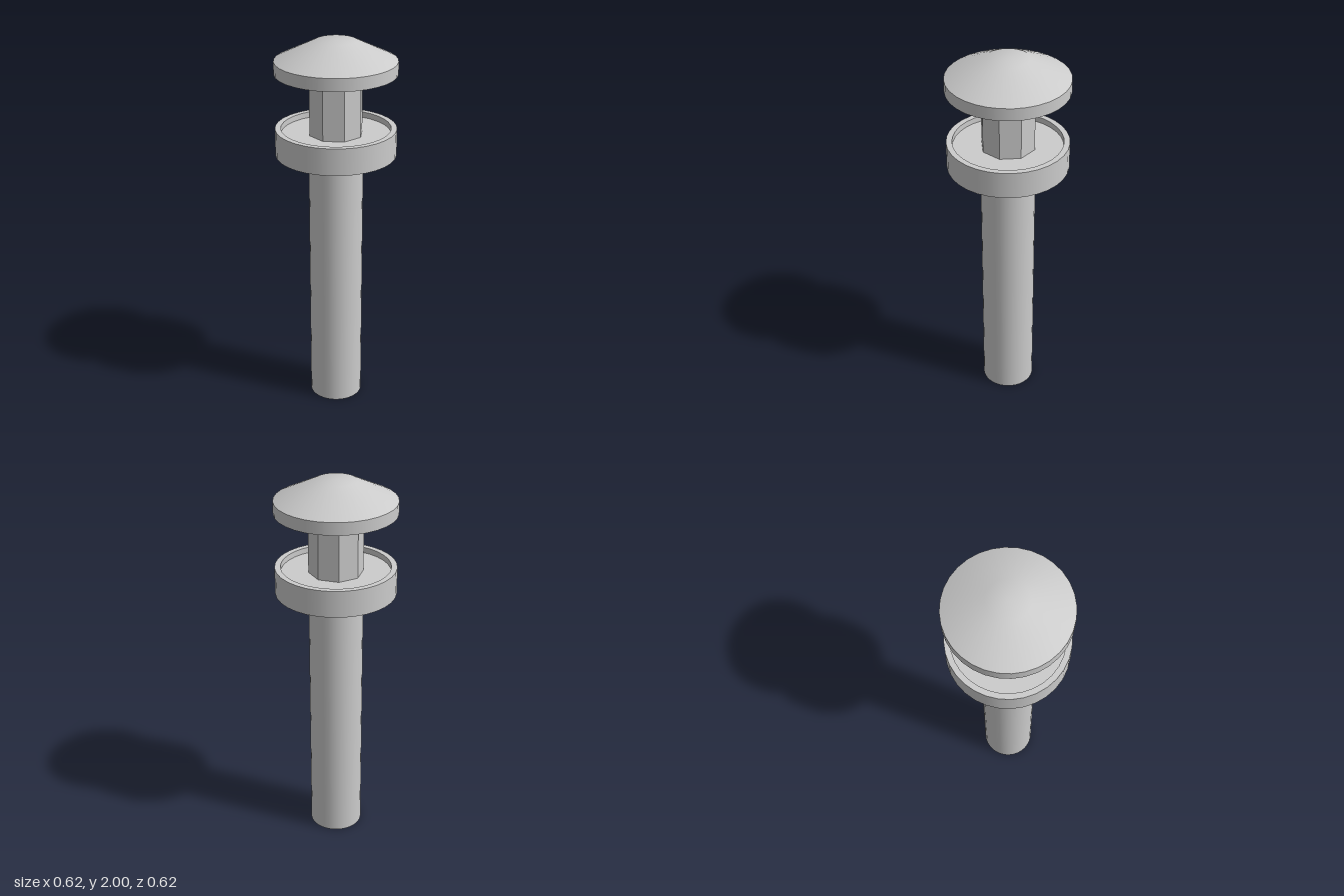
import * as THREE from 'three';
import { mergeGeometries } from 'three/addons/utils/BufferGeometryUtils.js';

const material = new THREE.MeshStandardMaterial({ color: 0xcccccc });

// Revolve profile runs; each run is smooth, with sharp edges between runs
function turned(name, runs, segments = 32) {
  const lathes = runs.map((run) =>
    new THREE.LatheGeometry(run.map(([r, y]) => new THREE.Vector2(r, y)), segments));
  const mesh = new THREE.Mesh(mergeGeometries(lathes), material);
  mesh.name = name;
  return mesh;
}

export function createModel() {
  const group = new THREE.Group();
  group.name = 'bollardLight';

  // Round post
  group.add(turned('post', [
    [[0, 0], [0.14, 0]],
    [[0.14, 0], [0.14, 1.42]],
  ]));

  // Collar with a raised rim around a shallow recess
  group.add(turned('collar', [
    [[0, 1.41], [0.31, 1.41]],
    [[0.31, 1.41], [0.31, 1.55]],
    [[0.31, 1.55], [0.28, 1.55]],
    [[0.28, 1.55], [0.28, 1.52]],
    [[0.28, 1.52], [0, 1.52]],
  ]));

  // Eight-sided neck
  const neckMaterial = material.clone();
  neckMaterial.flatShading = true;
  const neck = new THREE.Mesh(new THREE.CylinderGeometry(0.14, 0.14, 0.34, 8), neckMaterial);
  neck.position.y = 1.67;
  neck.name = 'neck';
  group.add(neck);

  // Cap: straight edge below a softly shaded sloping top
  group.add(turned('cap', [
    [[0, 1.835], [0.31, 1.835]],
    [[0.31, 1.835], [0.31, 1.9]],
    [[0.31, 1.9], [0.105, 2], [0, 2]],
  ]));

  return group;
}
